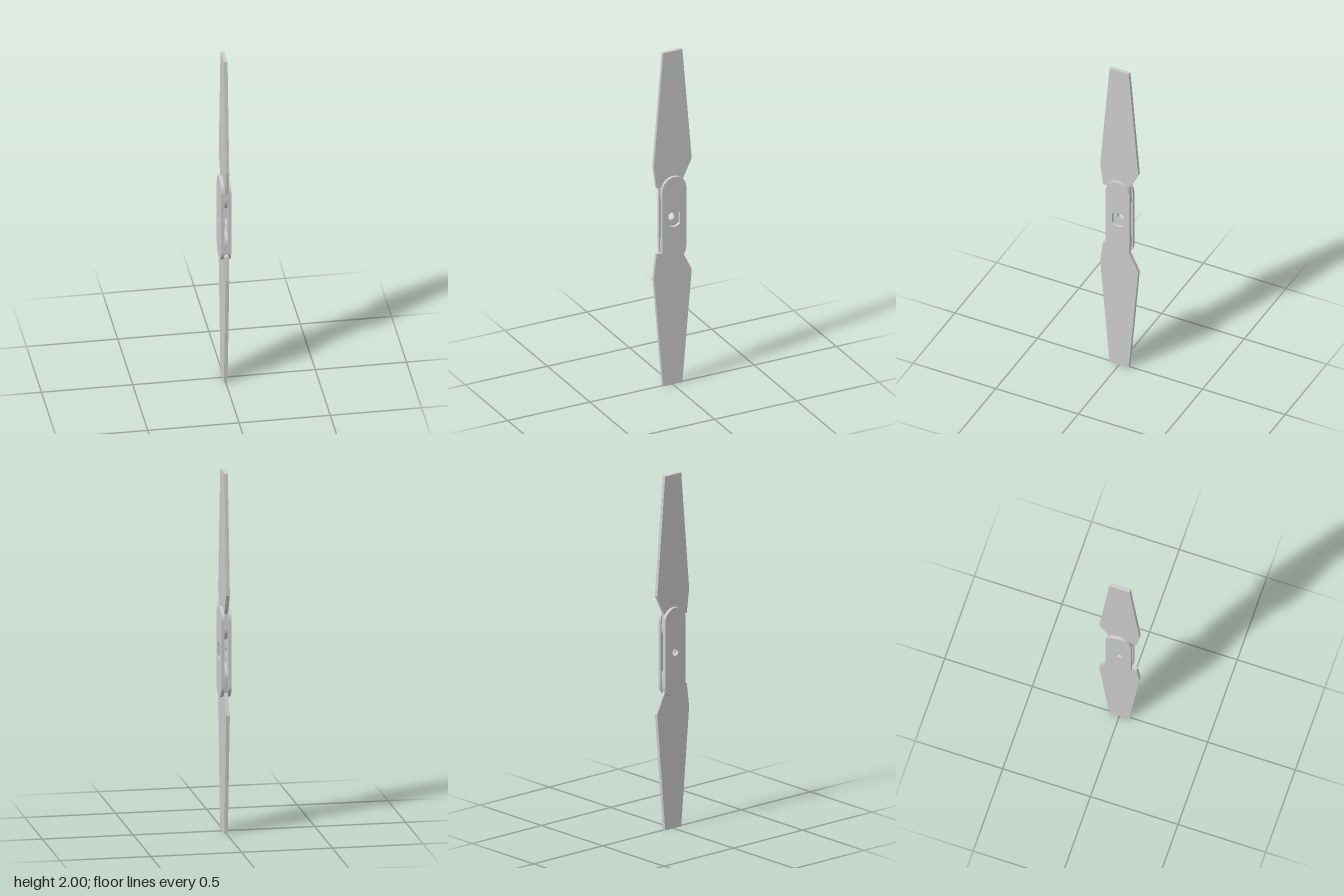
import * as THREE from 'three';

const material = new THREE.MeshStandardMaterial({ color: 0xcccccc });

// Extrudes a (z, y) outline along x, from x0 to x1.
function slab(name, shape, x0, x1) {
  const geometry = new THREE.ExtrudeGeometry(shape, { depth: x1 - x0, bevelEnabled: false, curveSegments: 24 });
  geometry.rotateY(-Math.PI / 2); // shape x -> +z, depth -> -x
  geometry.translate(x1, 0, 0);
  const mesh = new THREE.Mesh(geometry, material);
  mesh.name = name;
  return mesh;
}

// Tapered blade with a round pivot root; side is +1 for upper, -1 for lower.
function bladeShape(side) {
  const outline = [[-0.058, 1], [-0.115, 0.333], [-0.06, 0.22]];
  const eyeY = 0.135, r = 0.068;
  for (let i = 0; i <= 24; i++) {
    const a = Math.PI * (1 + i / 24);
    outline.push([r * Math.cos(a), eyeY + r * Math.sin(a)]);
  }
  outline.push([0.066, 0.198], [0.098, 0.198], [0.115, 0.333], [0.058, 1]);
  return new THREE.Shape(outline.map(([z, y]) => new THREE.Vector2(z, 1 + side * y)));
}

// Rounded-end hub plate.
function plateShape(hole) {
  const r = 0.0725, c = 0.252 - r;
  const shape = new THREE.Shape();
  shape.absarc(0, 1 + c, r, 0, Math.PI, false);
  shape.absarc(0, 1 - c, r, Math.PI, 2 * Math.PI, false);
  shape.closePath();
  shape.holes.push(hole);
  return shape;
}

export function createModel() {
  const group = new THREE.Group();
  group.name = 'foldingPropeller';

  // Blades
  group.add(slab('upperBlade', bladeShape(1), -0.01, 0.01));
  group.add(slab('lowerBlade', bladeShape(-1), -0.01, 0.01));

  // Shaft holes: a round one, and one with two flat sides
  const roundHole = new THREE.Path().absarc(0, 1, 0.021, 0, Math.PI * 2, true);
  const flatHole = new THREE.Path();
  const a = Math.acos(0.035 / 0.047);
  flatHole.absarc(0, 1, 0.047, Math.PI - a, a, true);
  flatHole.absarc(0, 1, 0.047, -a, Math.PI + a, true);
  flatHole.closePath();

  // Hub plates on either side of the blade roots
  group.add(slab('leftHubPlate', plateShape(flatHole), 0.01, 0.028));
  group.add(slab('rightHubPlate', plateShape(roundHole), -0.028, -0.01));
  return group;
}
